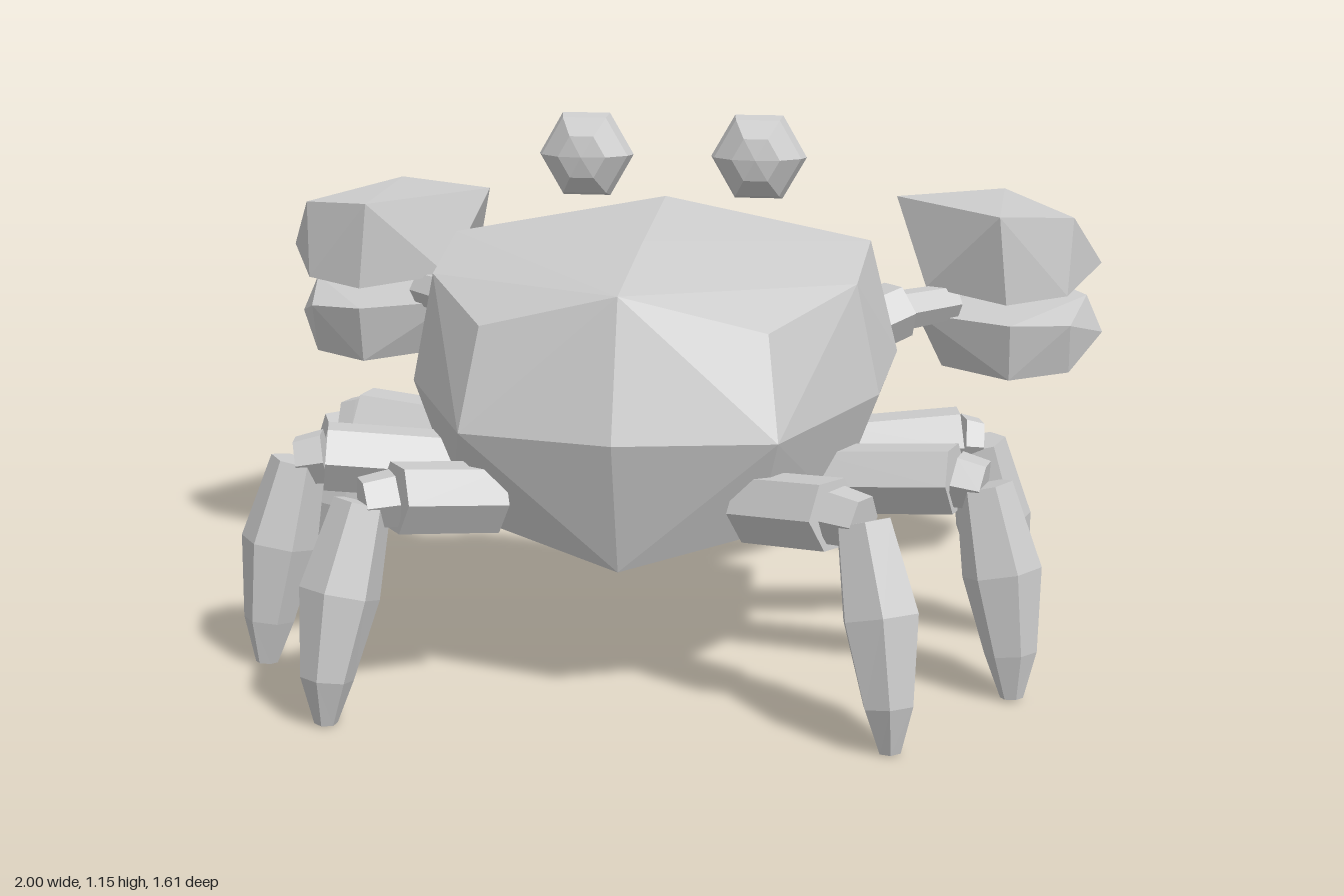
import * as THREE from 'three';
import { ConvexGeometry } from 'three/addons/geometries/ConvexGeometry.js';

const material = new THREE.MeshStandardMaterial({ color: 0xcccccc, flatShading: true });
const V = (p) => new THREE.Vector3(...p);

function addMesh(parent, geometry, name) {
  const mesh = new THREE.Mesh(geometry, material);
  mesh.name = name;
  parent.add(mesh);
  return mesh;
}

// Faceted solid wrapped around its corner points
const hull = (points) => new ConvexGeometry(points.map(V));

// Six-sided limb through [x, y, z, radius] stations, with closed ends
function limb(stations, sides = 6) {
  const centers = stations.map(([x, y, z]) => new THREE.Vector3(x, y, z));
  const along = centers.at(-1).clone().sub(centers[0]);
  const side = new THREE.Vector3(along.z, 0, -along.x).normalize();
  const pos = [], index = [];
  stations.forEach((s, i) => {
    const t = centers[Math.min(i + 1, centers.length - 1)].clone()
      .sub(centers[Math.max(i - 1, 0)]).normalize();
    const u = side.clone().addScaledVector(t, -side.dot(t)).normalize();
    const v = t.clone().cross(u);
    for (let k = 0; k < sides; k++) {
      const a = (k / sides) * Math.PI * 2;
      const p = centers[i].clone()
        .addScaledVector(u, Math.cos(a) * s[3]).addScaledVector(v, Math.sin(a) * s[3]);
      pos.push(p.x, p.y, p.z);
    }
  });
  const last = (stations.length - 1) * sides;
  for (let i = 0; i < last; i += sides) {
    for (let k = 0; k < sides; k++) {
      const n = (k + 1) % sides;
      index.push(i + k, i + n, i + sides + n, i + k, i + sides + n, i + sides + k);
    }
  }
  for (let k = 1; k < sides - 1; k++) {
    index.push(0, k + 1, k, last, last + k, last + k + 1);
  }
  const g = new THREE.BufferGeometry();
  g.setAttribute('position', new THREE.Float32BufferAttribute(pos, 3));
  g.setIndex(index);
  g.computeVertexNormals();
  return g;
}

// Shell: top, middle and bottom outlines of one half, mirrored
const shellHalf = [
  [0, 0.98, -0.13], [0.47, 0.9, -0.06], [0.46, 0.85, 0.22], [0.3, 0.79, 0.49], [0, 0.87, 0.55], [0, 0.93, 0.21],
  [0, 0.7, -0.205], [0.53, 0.64, -0.12], [0.51, 0.61, 0.21], [0.33, 0.58, 0.57], [0, 0.58, 0.64],
  [0, 0.29, -0.12], [0.4, 0.38, -0.08], [0.42, 0.37, 0.22], [0.28, 0.37, 0.5], [0, 0.295, 0.56],
];

// Each leg: upper start, upper end, then lower top, middle, low and tip centres
const legs = [
  [[0.4, 0.44, 0.035], [0.68, 0.465, -0.005], [0.72, 0.46, -0.015], [0.757, 0.28, -0.035], [0.785, 0.1, -0.06], [0.79, 0.005, -0.065]],
  [[0.38, 0.43, 0.25], [0.68, 0.46, 0.325], [0.74, 0.45, 0.335], [0.782, 0.27, 0.355], [0.805, 0.1, 0.375], [0.81, 0.005, 0.385]],
  [[0.27, 0.43, 0.5], [0.45, 0.455, 0.63], [0.51, 0.45, 0.66], [0.55, 0.27, 0.705], [0.57, 0.1, 0.745], [0.575, 0.005, 0.745]],
];

const upperPincer = [
  [0.5, 0.93, -0.56], [0.75, 0.92, -0.31], [0.92, 0.91, -0.4], [0.755, 0.935, -0.7],
  [0.99, 0.785, -0.53], [0.75, 0.81, -0.76], [0.54, 0.81, -0.65],
  [0.58, 0.735, -0.42], [0.77, 0.715, -0.31], [0.91, 0.73, -0.37],
];
const lowerPincer = [
  [0.56, 0.67, -0.42], [0.78, 0.66, -0.34], [0.92, 0.65, -0.42],
  [0.62, 0.54, -0.45], [0.78, 0.525, -0.37], [0.92, 0.53, -0.46], [0.8, 0.52, -0.58],
  [0.54, 0.68, -0.58], [0.58, 0.59, -0.6], [1, 0.6, -0.62], [0.96, 0.69, -0.62],
  [0.75, 0.7, -0.79], [0.84, 0.71, -0.79], [0.75, 0.6, -0.81], [0.84, 0.6, -0.8],
];

// Everything on the +x side
function buildSide(name) {
  const half = new THREE.Group();
  half.name = name;

  // Floating eye: six-sided bead, poles along z
  const profile = [[0, -0.08], [0.055, -0.07], [0.1, -0.03], [0.11, 0], [0.1, 0.03], [0.055, 0.07], [0, 0.08]];
  const eyeGeometry = new THREE.LatheGeometry(profile.map(([r, h]) => new THREE.Vector2(r, h)), 6);
  eyeGeometry.rotateY(Math.PI / 2).rotateX(Math.PI / 2);
  addMesh(half, eyeGeometry, 'eye').position.set(0.2, 1.06, -0.235);

  // Legs: thick upper part, small knee, curved tapering lower part
  legs.forEach(([a, b, top, mid, low, tip], i) => {
    const leg = new THREE.Group();
    leg.name = ['clawSideLeg', 'middleLeg', 'frontLeg'][i];
    addMesh(leg, limb([[...a, 0.078], [...b, 0.078]]), 'upperLeg');
    addMesh(leg, limb([[...b, 0.062], [...top, 0.055]]), 'knee');
    addMesh(leg, limb([[...top, 0.06], [...mid, 0.084], [...low, 0.055], [...tip, 0.024]]), 'lowerLeg');
    half.add(leg);
  });

  // Claw: arm, wrist and two pincers
  const claw = new THREE.Group();
  claw.name = 'claw';
  addMesh(claw, limb([[0.28, 0.61, -0.145, 0.075], [0.52, 0.695, -0.34, 0.07]]), 'arm');
  addMesh(claw, limb([[0.5, 0.69, -0.32, 0.05], [0.64, 0.7, -0.43, 0.045]]), 'wrist');
  addMesh(claw, hull(upperPincer), 'upperPincer');
  addMesh(claw, hull(lowerPincer), 'lowerPincer');
  half.add(claw);
  return half;
}

export function createModel() {
  const crab = new THREE.Group();
  crab.name = 'crab';
  const mirrored = shellHalf.filter(([x]) => x > 0).map(([x, y, z]) => [-x, y, z]);
  addMesh(crab, hull([...shellHalf, ...mirrored]), 'shell');
  crab.add(buildSide('leftSide'));
  const right = buildSide('rightSide');
  right.scale.x = -1;
  crab.add(right);
  return crab;
}
